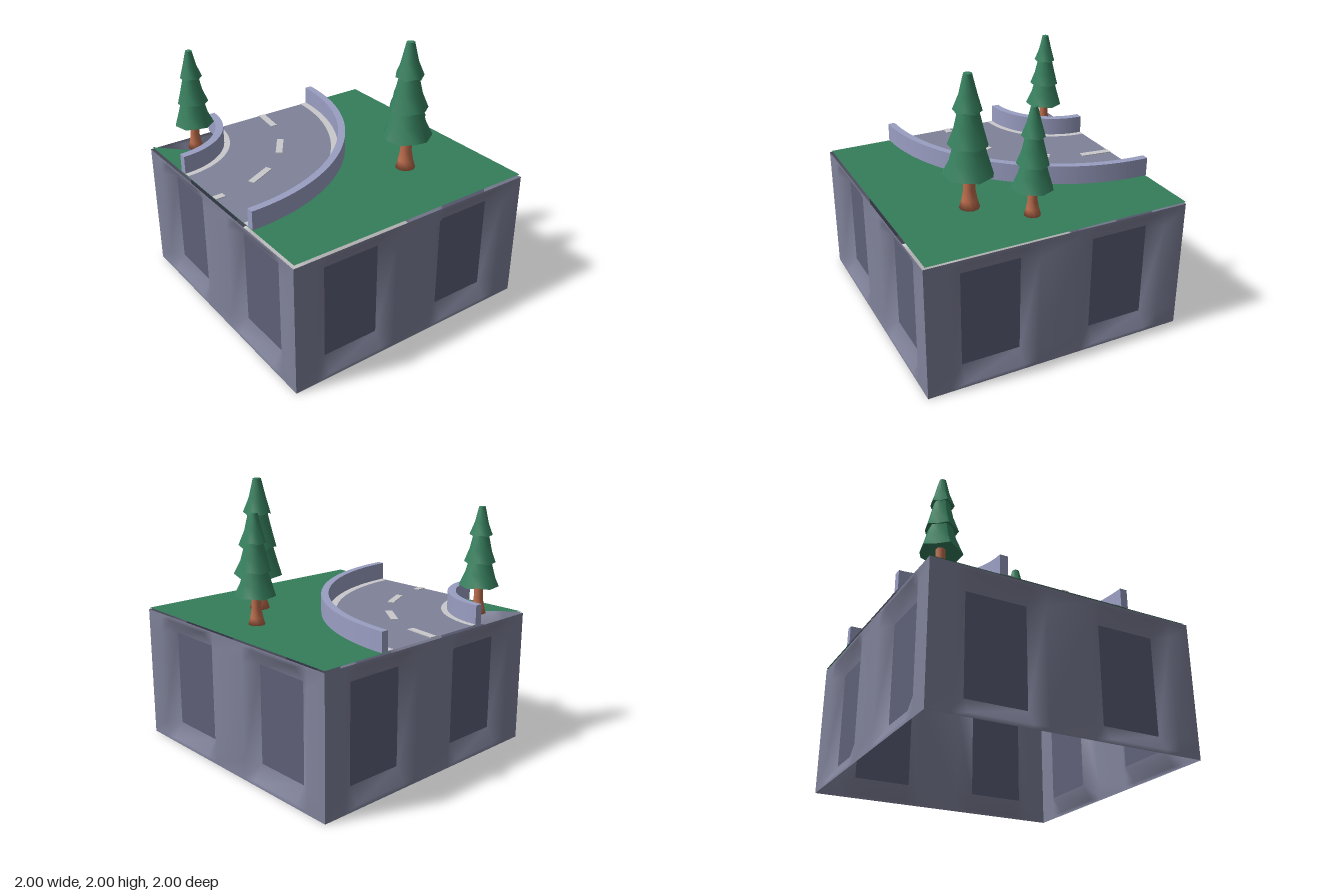
import * as THREE from 'three';

const mat = (name, color, side = THREE.DoubleSide) =>
  Object.assign(new THREE.MeshStandardMaterial({ color, side }), { name });

export function createModel() {
  const model = new THREE.Group();
  model.name = 'roadCornerTile';

  const wallGrey = mat('wall grey', 0x80829a);
  const panelGrey = mat('panel grey', 0x5e6078);
  const grassGreen = mat('grass green', 0x347d5a);
  const railLavender = mat('rail lavender', 0x9a9ec2, THREE.FrontSide);
  const paint = mat('road paint', 0xc9c9cd);
  const needleGreen = mat('needle green', 0x36805e);
  const bark = mat('bark brown', 0xbb6c4c);

  const add = (parent, name, geometry, material, x = 0, y = 0, z = 0) => {
    const mesh = new THREE.Mesh(geometry, material);
    mesh.name = name;
    mesh.position.set(x, y, z);
    parent.add(mesh);
    return mesh;
  };

  // Base walls: a grid whose panel cells are sunk, leaving sloped surrounds
  const xs = [-1, -0.83, -0.72, -0.28, -0.17, 0.17, 0.28, 0.72, 0.83, 1];
  const ys = [1, 0.97, 0.86, 0.14, 0.03, 0.01];
  const depth = 0.07;
  const isPanelColumn = (i) => i === 2 || i === 6;
  const frame = new THREE.PlaneGeometry(2, 1, xs.length - 1, ys.length - 1);
  for (let j = 0; j < ys.length; j++) {
    for (let i = 0; i < xs.length; i++) {
      const sunk = (j === 2 || j === 3) && [2, 3, 6, 7].includes(i);
      frame.attributes.position.setXYZ(j * xs.length + i, xs[i], j === 5 ? 0 : ys[j], sunk ? -depth : 0);
    }
  }
  const cells = [];
  const source = frame.index.array;
  for (let j = 0; j < ys.length - 1; j++) {
    for (let i = 0; i < xs.length - 1; i++) {
      if (j === 2 && isPanelColumn(i)) continue;
      const start = (j * (xs.length - 1) + i) * 6;
      cells.push(...source.slice(start, start + 6));
    }
  }
  frame.setIndex(cells);
  frame.computeVertexNormals();
  const panel = new THREE.PlaneGeometry(0.44, 0.72);

  ['frontWall', 'leftWall', 'backWall', 'rightWall'].forEach((name, k) => {
    const wall = new THREE.Group();
    wall.name = name;
    add(wall, 'wallFrame', frame, wallGrey, 0, 0, 1);
    for (const x of [-0.5, 0.5]) add(wall, 'recessedPanel', panel, panelGrey, x, 0.5, 1 - depth);
    wall.rotation.y = k * Math.PI / 2;
    model.add(wall);
  });

  // Grass sheet, running under the road, with a gap on the inner side of the bend
  const edge = 0.985;
  const lawn = new THREE.Shape([
    [-1, -edge], [edge, -edge], [edge, 1], [-1, 1], [-1, 0.45], [-0.2, -0.22],
  ].map(([x, y]) => new THREE.Vector2(x, y)));
  add(model, 'grass', new THREE.ShapeGeometry(lawn), grassGreen, 0, 1.014, 0).rotation.x = -Math.PI / 2;

  // Curved road, concentric about the front corner
  const road = new THREE.Group();
  road.name = 'road';
  road.position.set(-1, 0, edge);
  model.add(road);
  const flatRing = (name, inner, outer, y, material) => {
    const geometry = new THREE.RingGeometry(inner, outer, 40, 1, 0, Math.PI / 2);
    add(road, name, geometry, material, 0, y, 0).rotation.x = -Math.PI / 2;
  };
  flatRing('roadSurface', 0.5, 1.5, 1.018, wallGrey);
  flatRing('innerEdgeLine', 0.55, 0.6, 1.022, paint);
  flatRing('outerEdgeLine', 1.39, 1.45, 1.022, paint);

  const rail = (name, inner, outer) => {
    const shape = new THREE.Shape();
    shape.absarc(0, 0, outer, 0, Math.PI / 2, false);
    shape.absarc(0, 0, inner, Math.PI / 2, 0, true);
    const geometry = new THREE.ExtrudeGeometry(shape, { depth: 0.142, bevelEnabled: false, curveSegments: 40 });
    add(road, name, geometry, railLavender, 0, 1.018, 0).rotation.x = -Math.PI / 2;
  };
  rail('innerRail', 0.495, 0.555);
  rail('outerRail', 1.445, 1.5);

  // Centre dashes: angle round the bend, length
  for (const [degrees, length] of [[83, 0.24], [54.5, 0.24], [26, 0.24], [2.2, 0.076]]) {
    const a = degrees * Math.PI / 180;
    const dash = add(road, 'centreDash', new THREE.BoxGeometry(0.052, 0.006, length), paint,
      0.99 * Math.cos(a), 1.021, -0.99 * Math.sin(a));
    dash.rotation.y = degrees < 5 ? 0 : a;
  }

  // Fir trees
  const sides = 10;
  const lathe = (points) => new THREE.LatheGeometry(points.map(([r, y]) => new THREE.Vector2(r, y)), sides);
  const ragged = (points, rim) => {
    const geometry = lathe(points);
    const pos = geometry.attributes.position;
    for (let s = 0; s <= sides; s++) {
      const v = s * points.length + rim;
      const k = s % 2 ? 0.94 : 1.03;
      pos.setXYZ(v, pos.getX(v) * k, pos.getY(v) + (s % 2 ? -0.008 : 0.008), pos.getZ(v) * k);
    }
    geometry.computeVertexNormals();
    return geometry;
  };
  // Each tier: bottom height, top height, rim radius, top radius
  const tiers = [[0.21, 0.41, 0.148, 0.08], [0.385, 0.6, 0.116, 0.055], [0.585, 0.79, 0.084, 0.024]];

  const tree = (name, x, z, scale) => {
    const group = new THREE.Group();
    group.name = name;
    group.position.set(x, 1.018, z);
    group.scale.setScalar(scale);
    add(group, 'trunk', lathe([[0.001, 0], [0.06, 0], [0.046, 0.05], [0.035, 0.11], [0.033, 0.25]]), bark);
    for (const [y0, y1, r0, r1] of tiers) {
      const mid = r1 + (r0 - r1) * 0.45;
      add(group, 'branchTier', ragged([[r0, y0], [mid, y0 + (y1 - y0) * 0.45], [r1, y1]], 0), needleGreen);
      add(group, 'tierUnderside', ragged([[0.02, y0 + 0.03], [r0, y0]], 1), needleGreen);
    }
    add(group, 'treeTip', lathe([[0.024, 0.79], [0.0005, 0.794]]), needleGreen);
    model.add(group);
  };
  tree('frontTree', -0.8, 0.71, 1);
  tree('backTree', 0.065, -0.685, 1);
  tree('tallTree', 0.405, -0.395, 1.237);

  return model;
}
